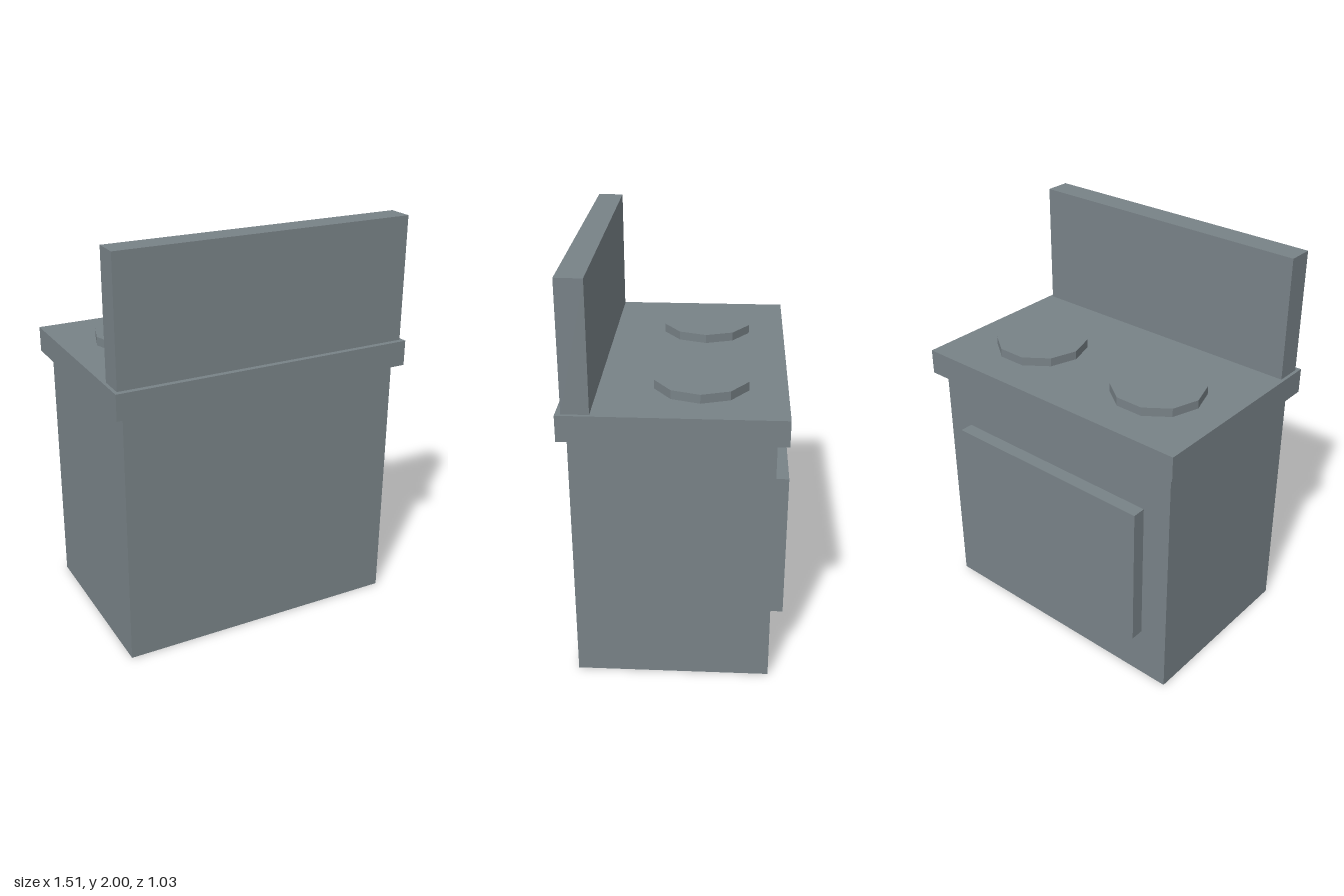
import * as THREE from 'three';

export function createModel() {
  const model = new THREE.Group();
  const steelGrey = new THREE.MeshStandardMaterial({ color: 0x788287 });
  steelGrey.name = 'steelGrey';
  steelGrey.flatShading = true;

  const add = (name, geometry, x, y, z) => {
    const mesh = new THREE.Mesh(geometry, steelGrey);
    mesh.name = name;
    mesh.position.set(x, y, z);
    model.add(mesh);
    return mesh;
  };

  // Box spanning the given y and z ranges, centred on x
  const slab = (name, width, y0, y1, z0, z1) =>
    add(name, new THREE.BoxGeometry(width, y1 - y0, z1 - z0), 0, (y0 + y1) / 2, (z0 + z1) / 2);

  slab('ovenBody', 1.424, 0, 1.265, -0.45, 0.475);
  slab('cooktop', 1.512, 1.265, 1.39, -0.502, 0.517);
  slab('backsplash', 1.48, 1.39, 2, 0.366, 0.491);
  slab('ovenDoor', 1.132, 0.268, 1.005, -0.517, -0.45);

  // Ten-sided burners with corners pointing sideways
  for (const [name, side] of [['leftBurner', 1], ['rightBurner', -1]]) {
    const burner = new THREE.CylinderGeometry(0.228, 0.228, 0.043, 10);
    burner.rotateY(Math.PI / 2);
    add(name, burner, side * 0.37, 1.4115, -0.107);
  }

  return model;
}
